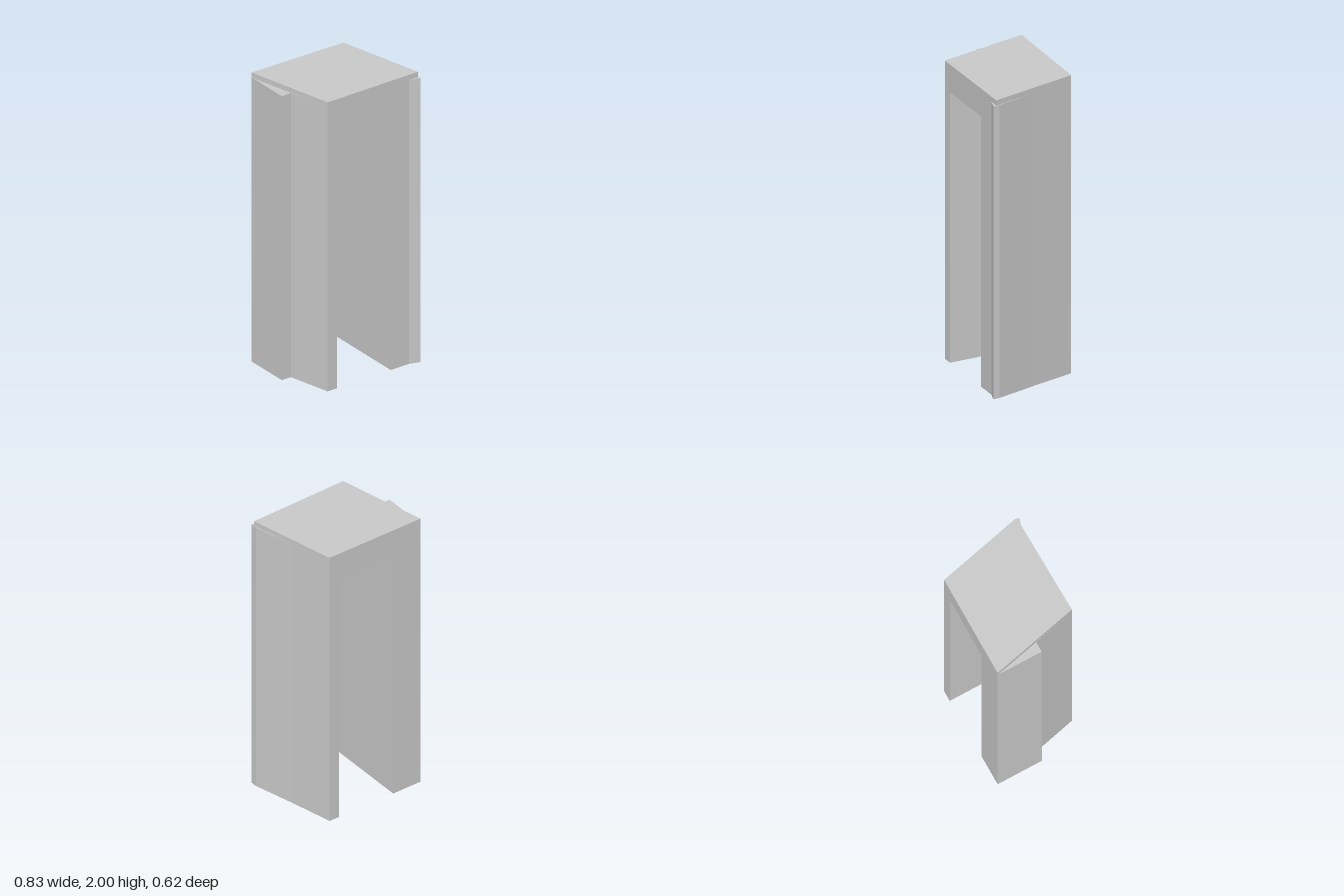
import * as THREE from 'three';

const material = new THREE.MeshStandardMaterial({ color: 0xcccccc, flatShading: true });

// Upright prism over a footprint of [x, z] corners, from y0 to y1
function prism(name, footprint, y0, y1) {
  const shape = new THREE.Shape(footprint.map(([x, z]) => new THREE.Vector2(x, -z)));
  const geometry = new THREE.ExtrudeGeometry(shape, { depth: y1 - y0, bevelEnabled: false });
  geometry.rotateX(-Math.PI / 2);
  geometry.translate(0, y0, 0);
  const mesh = new THREE.Mesh(geometry, material);
  mesh.name = name;
  return mesh;
}

export function createModel() {
  const group = new THREE.Group();
  group.name = 'skewedArch';

  // Skewed slab bridging both legs
  group.add(prism('lintel', [
    [-0.415, -0.312], [-0.278, 0.29], [0.413, 0.29], [0.278, -0.298],
  ], 1.813, 2));

  // Leg with a stepped outer side, its ledge just below the slab top
  group.add(prism('rightLeg', [
    [-0.415, -0.312], [-0.415, 0], [-0.346, 0], [-0.278, 0.29], [-0.207, 0.29], [-0.207, -0.308],
  ], 0, 1.965));

  // Leg with a slanted outer side and a small spur at the front corner
  group.add(prism('leftLeg', [
    [0.205, 0.29], [0.345, 0.29], [0.415, 0.312], [0.415, 0.27],
    [0.347, 0], [0.278, -0.298], [0.205, -0.2995],
  ], 0, 1.965));

  return group;
}
